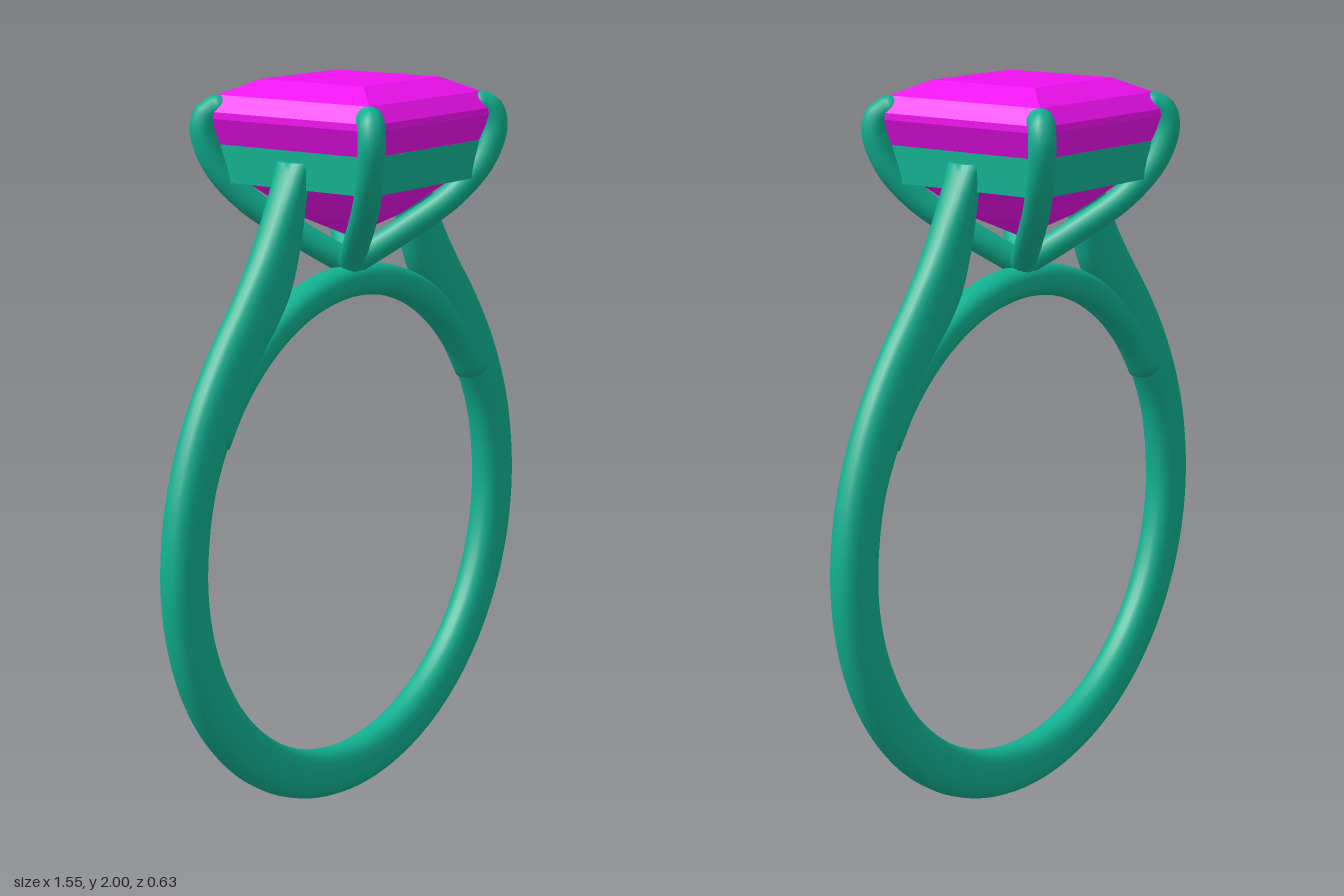
import * as THREE from 'three';

const metal = new THREE.MeshStandardMaterial({ color: 0x10b090 });
const stone = new THREE.MeshStandardMaterial({ color: 0xf010f0, flatShading: true });
const CY = 0.773, R_IN = 0.637, R_OUT = 0.773;

function add(parent, name, geometry, material = metal) {
  const mesh = new THREE.Mesh(geometry, material);
  mesh.name = name;
  parent.add(mesh);
  return mesh;
}

// Sweep an oval section between paired inner and outer edge points (clockwise)
function ovalSweep(stations, halfDepth, steps, sides = 24) {
  const curve = (k) => new THREE.CatmullRomCurve3(
    stations.map((s) => new THREE.Vector3(s[k], s[k + 1], 0)), false, 'centripetal');
  const inner = curve(0), outer = curve(2);
  const pos = [], idx = [];
  const round = (v) => Math.sign(v) * Math.pow(Math.abs(v), 0.85);
  for (let i = 0; i <= steps; i++) {
    const a = inner.getPoint(i / steps), b = outer.getPoint(i / steps);
    const mid = a.clone().add(b).multiplyScalar(0.5);
    const half = b.sub(a).multiplyScalar(0.5);
    for (let j = 0; j < sides; j++) {
      const t = (j / sides) * Math.PI * 2, c = round(Math.cos(t));
      pos.push(mid.x + half.x * c, mid.y + half.y * c, halfDepth * round(Math.sin(t)));
    }
  }
  for (let i = 0; i < steps; i++) {
    for (let j = 0; j < sides; j++) {
      const p = i * sides + j, q = i * sides + (j + 1) % sides;
      idx.push(p, q, p + sides, q, q + sides, p + sides);
    }
  }
  // End caps
  for (let j = 1; j < sides - 1; j++) {
    const e = steps * sides;
    idx.push(0, j + 1, j, e, e + j, e + j + 1);
  }
  const g = new THREE.BufferGeometry();
  g.setAttribute('position', new THREE.Float32BufferAttribute(pos, 3));
  g.setIndex(idx);
  g.computeVertexNormals();
  return g;
}

function arcStations(fromDeg, toDeg, count, rIn, rOut) {
  return Array.from({ length: count + 1 }, (_, i) => {
    const a = THREE.MathUtils.degToRad(fromDeg + (toDeg - fromDeg) * i / count);
    const c = Math.cos(a), s = Math.sin(a);
    return [c * rIn, CY + s * rIn, c * rOut, CY + s * rOut];
  });
}

export function createModel() {
  const ring = new THREE.Group();
  ring.name = 'ring';

  // Shank: lower circle with shoulders sweeping up to the setting
  const shoulder = [
    [0.21, 1.80, 0.27, 1.80],
    [0.225, 1.70, 0.325, 1.70],
    [0.245, 1.58, 0.395, 1.58],
    [0.285, 1.46, 0.475, 1.47],
    [0.36, 1.36, 0.57, 1.35],
    [0.46, 1.235, 0.655, 1.22],
    [0.55, 1.10, 0.715, 1.09],
    [0.61, 0.965, 0.755, 0.95],
  ];
  const mirrored = shoulder.map(([a, b, c, d]) => [-a, b, -c, d]).reverse();
  add(ring, 'shank', ovalSweep(
    [...shoulder, ...arcStations(0, -180, 14, R_IN, R_OUT), ...mirrored], 0.05, 160));

  // Bridge closing the finger hole under the setting
  add(ring, 'bridge', ovalSweep(arcStations(150, 30, 12, R_IN, 0.725), 0.048, 48));

  // Square rail around the stone
  const setting = new THREE.Group();
  setting.name = 'setting';
  ring.add(setting);
  const square = (Type, h) => new Type([
    new THREE.Vector2(-h, -h), new THREE.Vector2(h, -h),
    new THREE.Vector2(h, h), new THREE.Vector2(-h, h)]);
  const frame = square(THREE.Shape, 0.255);
  frame.holes.push(square(THREE.Path, 0.2));
  const rail = new THREE.ExtrudeGeometry(frame, { depth: 0.1, bevelEnabled: false });
  rail.rotateX(-Math.PI / 2).translate(0, 1.73, 0);
  add(setting, 'rail', rail);

  // Four claws rising along the diagonals and curling over the corners
  const clawLine = [[0, 1.5], [0.11, 1.595], [0.2, 1.685], [0.257, 1.78],
    [0.278, 1.87], [0.268, 1.915], [0.25, 1.925]];
  for (const sx of [1, -1]) {
    for (const sz of [1, -1]) {
      const path = new THREE.CatmullRomCurve3(
        clawLine.map(([d, y]) => new THREE.Vector3(sx * d, y, sz * d)));
      const claw = new THREE.Group();
      claw.name = 'claw';
      setting.add(claw);
      add(claw, 'clawStem', new THREE.TubeGeometry(path, 40, 0.036, 16));
      add(claw, 'clawTip', new THREE.SphereGeometry(0.036, 16, 12))
        .position.copy(path.getPoint(1));
    }
  }
  add(setting, 'clawJoint', new THREE.SphereGeometry(0.04, 20, 14)).position.y = 1.5;

  // Square-cut stone: four-sided profile from the point up to the table
  const profile = [[0, 1.575], [0.1, 1.635], [0.19, 1.72], [0.245, 1.81],
    [0.285, 1.9], [0.285, 1.918], [0.25, 1.96], [0.17, 2], [0, 2]]
    .map(([h, y]) => new THREE.Vector2(h * Math.SQRT2, y));
  add(ring, 'stone', new THREE.LatheGeometry(profile, 4).rotateY(Math.PI / 4), stone);

  return ring;
}
